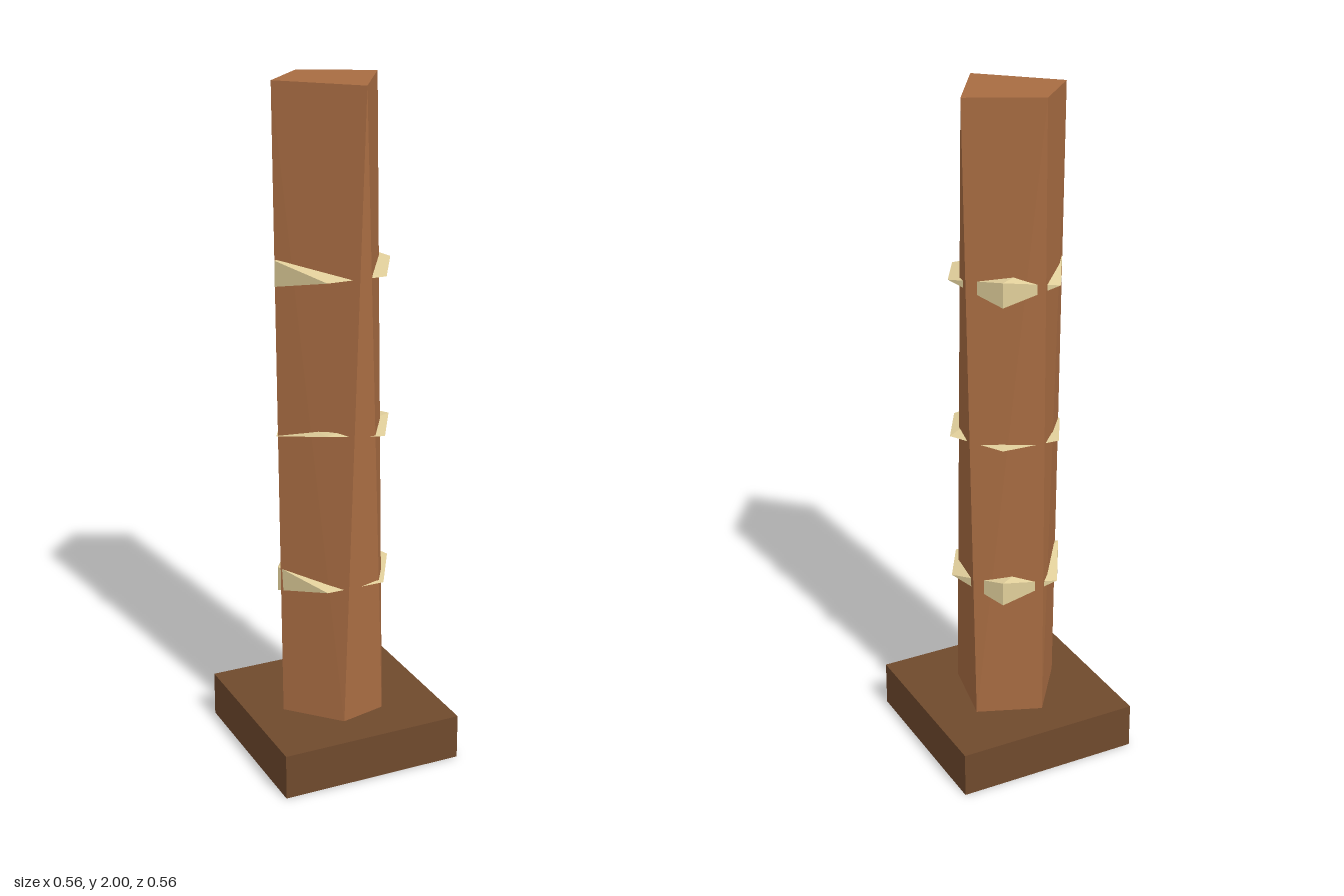
import * as THREE from 'three';
import { ConvexGeometry } from 'three/addons/geometries/ConvexGeometry.js';

const material = (name, color) => {
  const m = new THREE.MeshStandardMaterial({ color });
  m.name = name;
  return m;
};

export function createModel() {
  const group = new THREE.Group();
  const darkWood = material('dark wood', 0x704a2d);
  const wood = material('wood', 0xa86c42);
  const cream = material('cream', 0xe0ce9a);

  const add = (name, geometry, mat) => {
    const mesh = new THREE.Mesh(geometry, mat);
    mesh.name = name;
    group.add(mesh);
    return mesh;
  };
  const hull = (points) => new ConvexGeometry(points.map((p) => new THREE.Vector3(...p)));

  // Square plinth
  add('base', new THREE.BoxGeometry(0.556, 0.136, 0.556), darkWood).position.y = 0.068;

  // Rough-hewn post: five-sided foot narrowing to a four-sided top
  const foot = [[-0.04, 0.163], [0.1, 0.13], [0.145, -0.09], [-0.038, -0.163], [-0.173, 0.02]];
  const top = [[-0.038, -0.163], [0.163, -0.06], [0.019, 0.17], [-0.174, -0.02]];
  add('post', hull([
    ...foot.map(([x, z]) => [x, 0.13, z]),
    ...top.map(([x, z]) => [x, 2, z]),
  ]), wood);

  // Hexagonal bands: per corner (from +x towards +z) a list of heights
  const band = (name, y, heights) => {
    const points = [];
    heights.forEach((list, i) => {
      const a = (i * Math.PI) / 3;
      for (const h of list) points.push([0.178 * Math.cos(a), y + h, 0.178 * Math.sin(a)]);
    });
    add(name, hull(points), cream);
  };
  const wedge = [[0.012], [0], [0], [0.037, -0.037], [0], [0.036, -0.036]];
  const thin = [[0.005], [-0.003], [0.022], [-0.013], [-0.003], [0.002]];
  band('lowerBand', 0.558, wedge);
  band('middleBand', 1.013, thin);
  band('upperBand', 1.475, wedge);

  return group;
}
